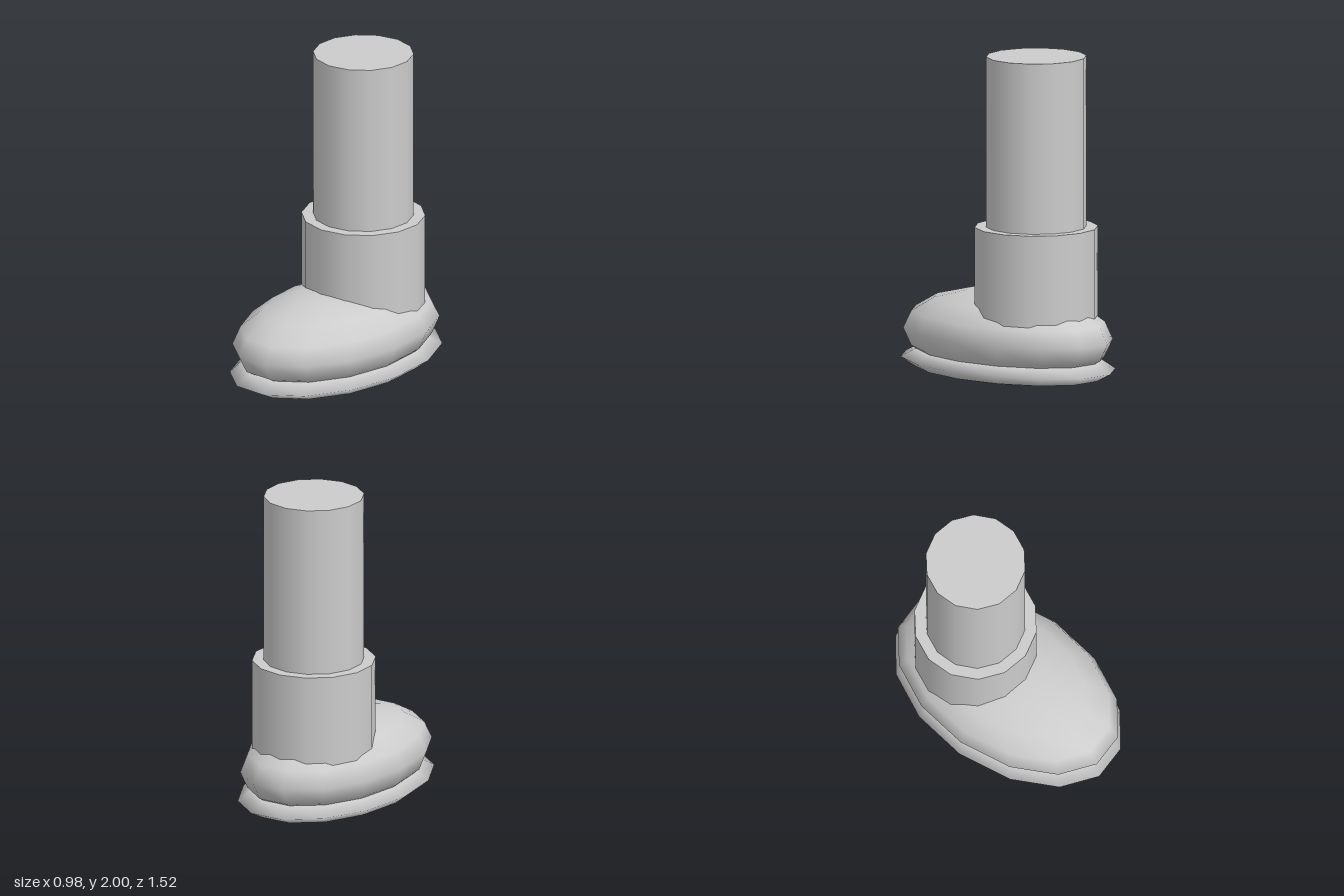
import * as THREE from 'three';

const SIDES = 14;

export function createModel() {
  const model = new THREE.Group();
  const grey = new THREE.MeshStandardMaterial({ color: 0xcccccc });
  grey.name = 'light grey';

  const add = (name, geometry, y, z) => {
    const mesh = new THREE.Mesh(geometry, grey);
    mesh.name = name;
    mesh.position.set(0, y, z);
    model.add(mesh);
  };

  // squashed sphere, scaled in the geometry so its normals stay right
  const ellipsoid = (rx, ry, rz, rows) =>
    new THREE.SphereGeometry(1, SIDES, rows).scale(rx, ry, rz);

  // upright cylinder from y0 to y1, set over the heel
  const heelZ = -0.242;
  const column = (name, radius, y0, y1) =>
    add(name, new THREE.CylinderGeometry(radius, radius, y1 - y0, SIDES), (y0 + y1) / 2, heelZ);

  add('sole', ellipsoid(0.491, 0.105, 0.78, 6), 0.106, 0);
  add('shoeUpper', ellipsoid(0.479, 0.274, 0.76, 8), 0.284, 0);
  column('ankleCuff', 0.373, 0.3, 0.963);
  column('leg', 0.303, 0.9, 2);

  return model;
}
